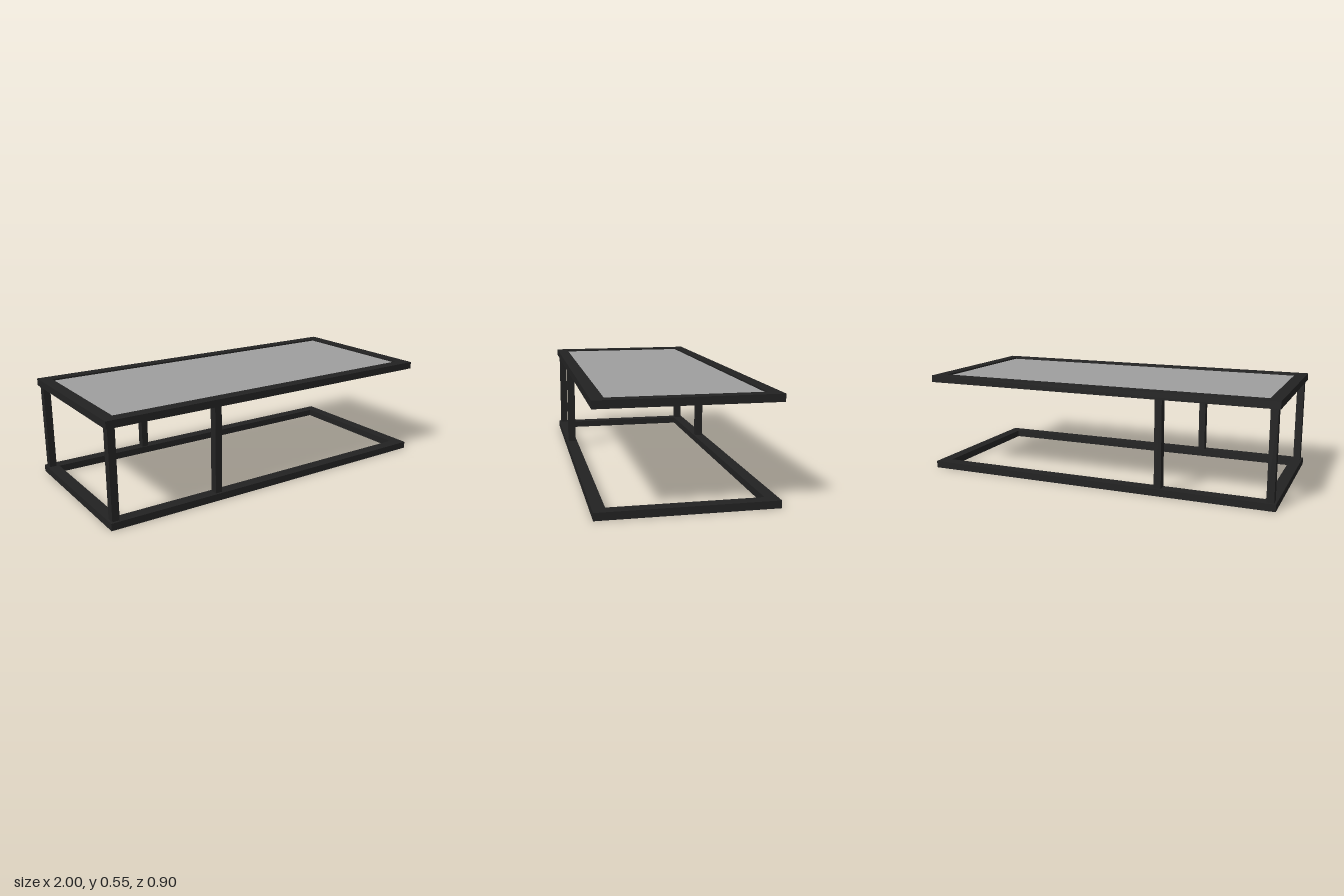
import * as THREE from 'three';

const HX = 1, HZ = 0.45;       // half length and half depth
const BAR = 0.064, THICK = 0.039; // rail width and height
const TOP = 0.553;

export function createModel() {
  const table = new THREE.Group();
  table.name = 'table';
  const blackMetal = new THREE.MeshStandardMaterial({ name: 'black metal', color: 0x222222 });
  const greyGlass = new THREE.MeshStandardMaterial({ name: 'grey glass', color: 0x9e9e9e });

  // Rectangular ring lying flat, with its underside at y
  function frame(name, y) {
    const rect = (P, x, z) => new P([
      new THREE.Vector2(-x, -z), new THREE.Vector2(x, -z),
      new THREE.Vector2(x, z), new THREE.Vector2(-x, z),
    ]);
    const shape = rect(THREE.Shape, HX, HZ);
    shape.holes.push(rect(THREE.Path, HX - BAR, HZ - BAR));
    const geo = new THREE.ExtrudeGeometry(shape, { depth: THICK, bevelEnabled: false });
    geo.rotateX(-Math.PI / 2);
    const mesh = new THREE.Mesh(geo, blackMetal);
    mesh.name = name;
    mesh.position.y = y;
    table.add(mesh);
  }

  frame('baseFrame', 0);
  frame('topFrame', TOP - THICK);

  // Pane set slightly below the rim of the top frame
  const pane = new THREE.Mesh(
    new THREE.BoxGeometry(2 * (HX - BAR), 0.02, 2 * (HZ - BAR)), greyGlass);
  pane.name = 'topPane';
  pane.position.y = TOP - 0.019;
  table.add(pane);

  // Two pairs of posts towards one end, leaving the other cantilevered
  const postHeight = TOP - 2 * THICK;
  const postGeo = new THREE.BoxGeometry(0.039, postHeight, 0.043);
  for (const [pair, x] of [['end', -0.969], ['middle', -0.38]]) {
    for (const [side, z] of [['Front', 0.416], ['Back', -0.416]]) {
      const post = new THREE.Mesh(postGeo, blackMetal);
      post.name = `${pair}Post${side}`;
      post.position.set(x, TOP / 2, z);
      table.add(post);
    }
  }
  return table;
}
